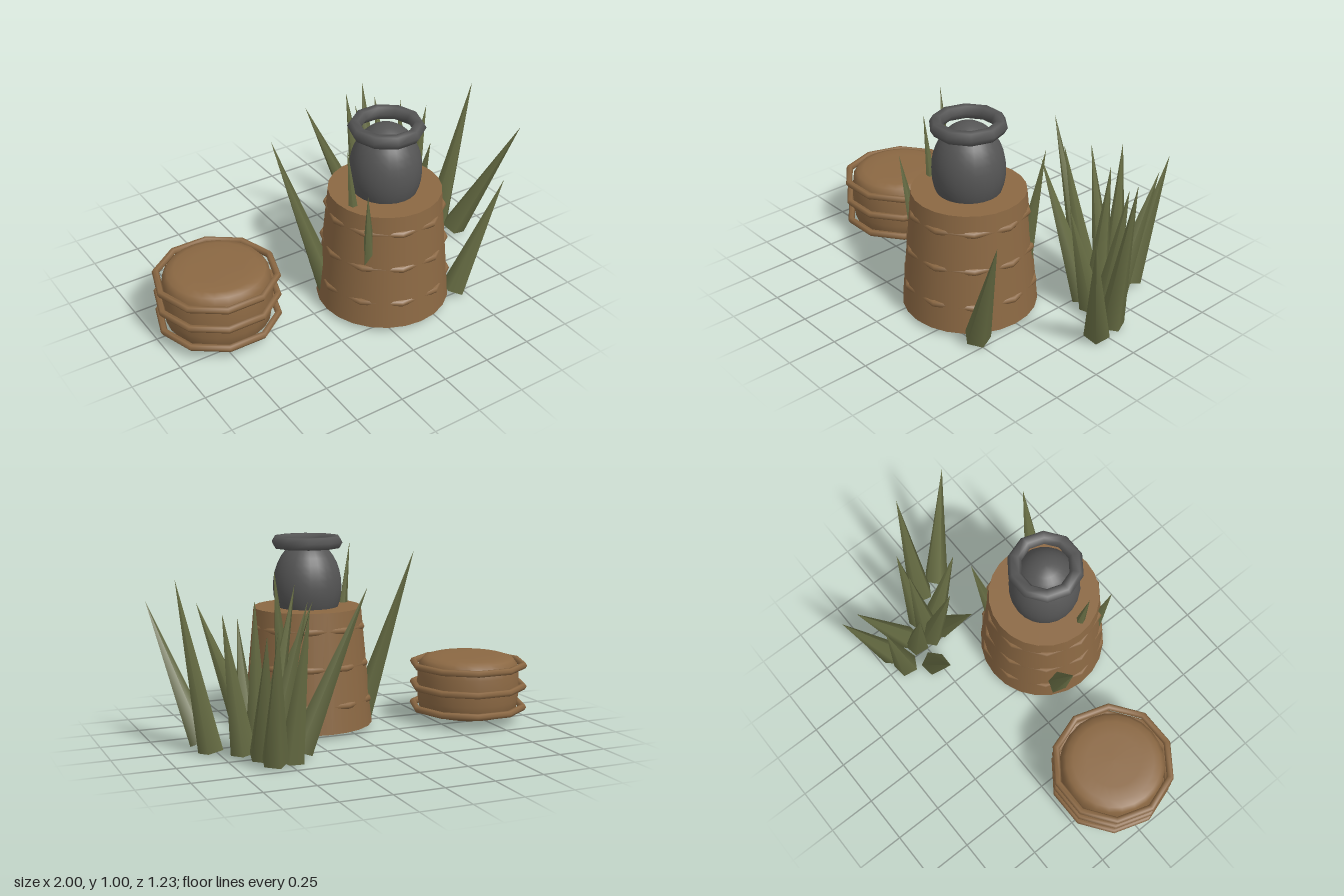
import * as THREE from 'three';

const brown = new THREE.MeshStandardMaterial({ color: 0x8b6843 });
brown.name = 'warm brown';
const grey = new THREE.MeshStandardMaterial({ color: 0x555555 });
grey.name = 'dark grey';
const green = new THREE.MeshStandardMaterial({ color: 0x666c43 });
green.name = 'dull green';

function add(parent, name, geometry, material, x = 0, y = 0, z = 0) {
  const mesh = new THREE.Mesh(geometry, material);
  mesh.name = name;
  mesh.position.set(x, y, z);
  parent.add(mesh);
  return mesh;
}

// Horizontal ten-sided ring
function ring(radius, tube, sides) {
  return new THREE.TorusGeometry(radius, tube, sides, 10).rotateX(Math.PI / 2);
}

// Five-sided spike running from a base point to a tip
function blade(parent, base, tip, roll) {
  const a = new THREE.Vector3(...base), b = new THREE.Vector3(...tip);
  const dir = b.clone().sub(a), length = dir.length();
  const geometry = new THREE.ConeGeometry(0.066, length, 5).rotateY(roll).translate(0, length / 2, 0);
  const mesh = add(parent, 'grassBlade', geometry, green, ...base);
  mesh.quaternion.setFromUnitVectors(new THREE.Vector3(0, 1, 0), dir.normalize());
}

export function createModel() {
  const model = new THREE.Group();
  model.name = 'basketsAndGrass';

  // Tall tapered basket with bands that only show at their corners
  const tall = new THREE.Group();
  tall.name = 'tallBasket';
  tall.position.set(0.147, 0, 0.277);
  model.add(tall);
  add(tall, 'tallBasketBody', new THREE.CylinderGeometry(0.28, 0.337, 0.61, 24), brown, 0, 0.33, 0);
  [[0.16, 0.32], [0.35, 0.303], [0.54, 0.285]].forEach(([y, r]) =>
    add(tall, 'tallBasketBand', ring(r, 0.018, 8), brown, 0, y, 0));

  // Jar with a loose rim
  const jar = new THREE.Group();
  jar.name = 'jar';
  jar.position.set(0.147, 0, 0.277);
  model.add(jar);
  add(jar, 'jarBody', new THREE.SphereGeometry(0.178, 24, 18).scale(1, 1.35, 1), grey, 0, 0.74, 0);
  add(jar, 'jarRim', ring(0.153, 0.035, 6), grey, 0, 0.969, 0);

  // Low round basket with three bands
  const low = new THREE.Group();
  low.name = 'lowBasket';
  low.position.set(-0.685, 0.193, 0.057);
  model.add(low);
  const half = [[0, 0.162], [0.14, 0.161], [0.205, 0.156], [0.24, 0.145], [0.26, 0.12], [0.268, 0.07]];
  const profile = [
    ...half.map(([r, y]) => new THREE.Vector2(r, -y)),
    new THREE.Vector2(0.272, 0),
    ...half.slice().reverse().map(([r, y]) => new THREE.Vector2(r, y)),
  ];
  add(low, 'lowBasketBody', new THREE.LatheGeometry(profile, 24), brown);
  for (const y of [-0.113, 0, 0.113]) add(low, 'lowBasketBand', ring(0.297, 0.018, 6), brown, 0, y, 0);

  // Grass blades: base, tip
  const grass = new THREE.Group();
  grass.name = 'grass';
  model.add(grass);
  const blades = [
    // around the tall basket
    [[-0.1, 0.03, 0.17], [-0.35, 0.93, 0.04]],
    [[0, 0.02, 0.32], [-0.115, 0.95, 0.335]],
    [[-0.02, 0.02, 0.41], [-0.107, 0.785, 0.495]],
    [[0.32, 0.02, 0.13], [0.415, 0.86, 0.03]],
    [[0.45, 0.03, 0.49], [0.665, 0.645, 0.557]],
    // clump beside it
    [[0.8, 0.03, 0.04], [0.997, 0.71, 0.287]],
    [[0.78, 0.02, -0.08], [0.93, 0.85, -0.04]],
    [[0.58, 0.03, -0.42], [0.625, 0.69, -0.617]],
    [[0.49, 0.02, -0.4], [0.43, 0.73, -0.487]],
    [[0.6, 0.03, -0.3], [0.645, 0.64, -0.523]],
    [[0.4, 0.03, -0.28], [0.085, 0.805, -0.35]],
    [[0.54, 0.02, -0.19], [0.37, 0.81, -0.135]],
    [[0.58, 0.02, -0.18], [0.6, 0.76, -0.22]],
    [[0.61, 0.02, -0.12], [0.6, 0.63, 0.05]],
    [[0.55, 0.02, -0.28], [0.375, 0.75, -0.32]],
    [[0.55, 0.03, -0.13], [0.26, 0.715, -0.09]],
    [[0.65, 0.02, -0.18], [0.75, 0.7, -0.19]],
  ];
  blades.forEach(([base, tip], i) => blade(grass, base, tip, i * 1.9));

  return model;
}
